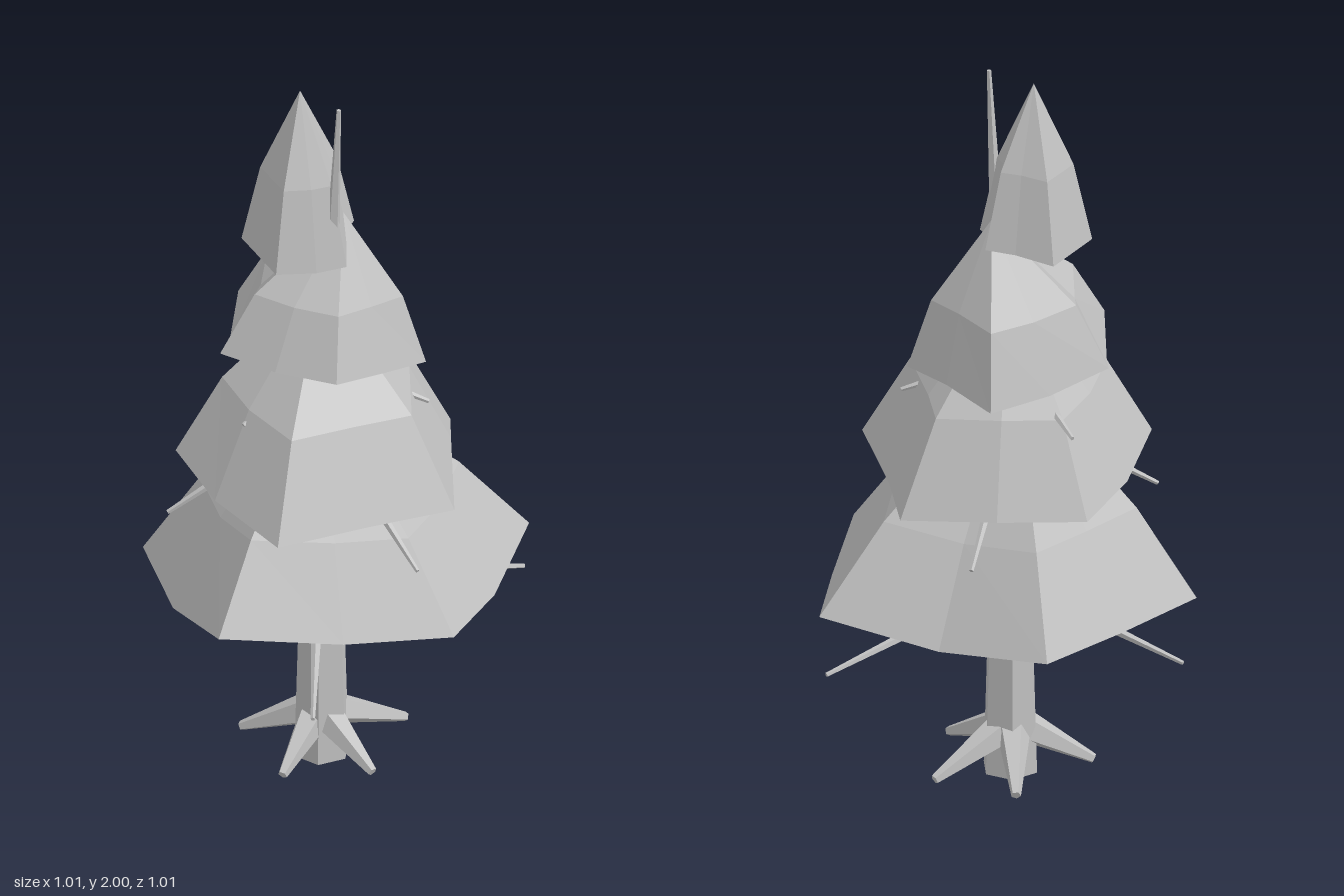
import * as THREE from 'three';

const grey = new THREE.MeshStandardMaterial({ color: 0xc0c0c0, flatShading: true });
grey.name = 'plain grey';

// Tapered stick between two points
function stick(name, from, to, r0, r1, sides) {
  const a = new THREE.Vector3(...from), b = new THREE.Vector3(...to);
  const dir = b.clone().sub(a);
  const mesh = new THREE.Mesh(new THREE.CylinderGeometry(r1, r0, dir.length(), sides), grey);
  mesh.position.copy(a).add(b).multiplyScalar(0.5);
  mesh.quaternion.setFromUnitVectors(new THREE.Vector3(0, 1, 0), dir.normalize());
  mesh.name = name;
  return mesh;
}

// Foliage tier: uneven rim, one bulging ring, an apex and a closed underside
function tier(name, rim, apex, rise, shrink) {
  const n = rim.length, pos = [], index = [];
  rim.forEach(p => pos.push(...p));
  rim.forEach(([x, y, z]) => pos.push(
    apex[0] + (x - apex[0]) * shrink,
    y + (apex[1] - y) * rise,
    apex[2] + (z - apex[2]) * shrink));
  const mean = k => rim.reduce((s, p) => s + p[k], 0) / n;
  pos.push(...apex, mean(0), mean(1), mean(2));
  for (let i = 0; i < n; i++) {
    const j = (i + 1) % n;
    index.push(i, n + i, n + j, i, n + j, j);
    index.push(n + i, 2 * n, n + j);
    index.push(i, j, 2 * n + 1);
  }
  const indexed = new THREE.BufferGeometry();
  indexed.setAttribute('position', new THREE.Float32BufferAttribute(pos, 3));
  indexed.setIndex(index);
  const geo = indexed.toNonIndexed();
  geo.computeVertexNormals();
  const mesh = new THREE.Mesh(geo, grey);
  mesh.name = name;
  return mesh;
}

export function createModel() {
  const tree = new THREE.Group();
  tree.name = 'pineTree';

  // Six-sided trunk
  const trunk = new THREE.Mesh(new THREE.CylinderGeometry(0.055, 0.077, 0.75, 6), grey);
  trunk.rotation.y = Math.PI / 6;
  trunk.position.set(0.005, 0.375, -0.015);
  trunk.name = 'trunk';
  tree.add(trunk);

  // Roots
  const rootTips = [[0.03, 0.19], [0.21, 0.04], [0.12, -0.23], [-0.11, -0.22], [-0.2, 0.06]];
  rootTips.forEach(([x, z]) =>
    tree.add(stick('root', [x * 0.15, 0.12, z * 0.15 - 0.01], [x, 0.035, z], 0.045, 0.013, 5)));

  // Foliage, rim corners alternating with rim midpoints
  tree.add(tier('lowestFoliage', [
    [-0.46, 0.525, 0.135], [-0.385, 0.54, -0.16], [-0.315, 0.57, -0.46], [0, 0.535, -0.455],
    [0.33, 0.578, -0.485], [0.435, 0.545, -0.19], [0.505, 0.58, 0.085], [0.3, 0.585, 0.29],
    [0.055, 0.62, 0.505], [-0.22, 0.525, 0.33]], [0, 1.15, 0], 0.4, 0.67));
  tree.add(tier('lowerFoliage', [
    [-0.285, 0.935, 0.23], [-0.32, 0.89, 0.01], [-0.315, 0.875, -0.22], [-0.11, 0.88, -0.335],
    [0.135, 0.865, -0.405], [0.225, 0.9, -0.285], [0.43, 0.89, -0.02], [0.3, 0.89, 0.18],
    [0.165, 0.885, 0.395], [-0.085, 0.905, 0.33]], [0, 1.42, -0.02], 0.45, 0.68));
  tree.add(tier('upperFoliage', [
    [-0.16, 1.265, 0.205], [-0.235, 1.19, 0.065], [-0.31, 1.258, -0.08], [-0.2, 1.21, -0.205],
    [-0.085, 1.185, -0.32], [0.08, 1.2, -0.245], [0.225, 1.19, -0.175], [0.205, 1.23, -0.01],
    [0.175, 1.265, 0.15], [0.01, 1.265, 0.195]], [0.025, 1.62, -0.085], 0.45, 0.72));
  tree.add(tier('topFoliage', [
    [-0.19, 1.54, 0.07], [-0.18, 1.54, -0.02], [-0.16, 1.53, -0.1], [-0.06, 1.55, -0.12],
    [0.015, 1.56, -0.145], [0.035, 1.57, -0.085], [0.105, 1.53, 0.01], [0.055, 1.525, 0.075],
    [-0.02, 1.53, 0.15], [-0.105, 1.535, 0.11]], [-0.06, 2, -0.01], 0.48, 0.68));

  // Bare branches in three whorls, each a start height and its tips
  const whorls = [
    [0.54, [[-0.505, 0.425, -0.04], [0.3, 0.425, 0.425], [0.3, 0.425, -0.505]]],
    [1.03, [[0.41, 0.763, 0.115], [-0.07, 0.763, -0.405], [-0.285, 0.763, 0.265]]],
    [1.2, [[-0.06, 1.1, 0.24], [-0.265, 1.1, -0.205], [0.26, 1.1, -0.14]]],
  ];
  for (const [y, tips] of whorls)
    for (const tip of tips) tree.add(stick('branch', [0, y, -0.01], tip, 0.02, 0.006, 5));

  // Upright twig beside the tip
  tree.add(stick('topTwig', [0.055, 1.55, 0.005], [0.078, 2, 0.008], 0.02, 0.006, 5));
  return tree;
}
